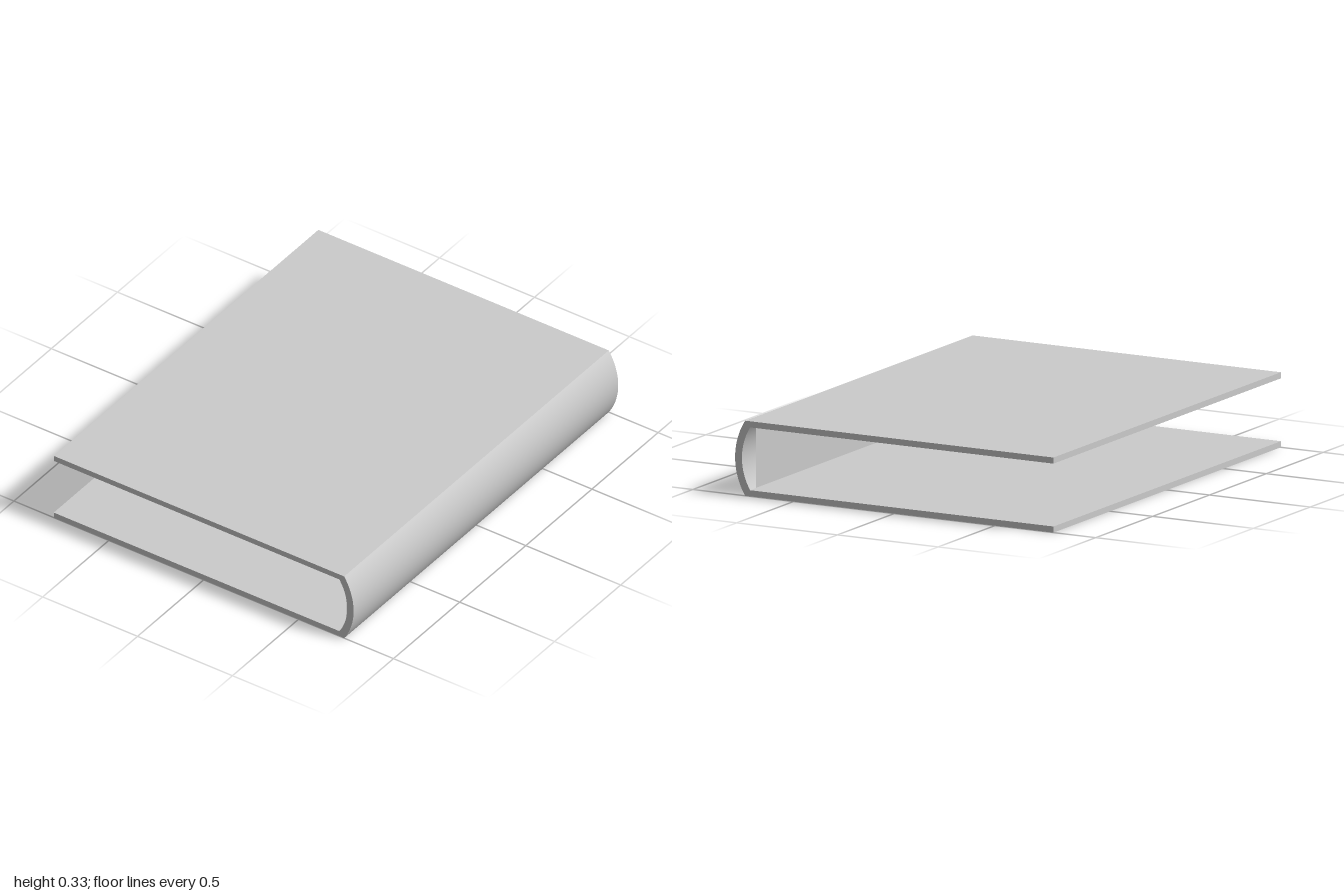
import * as THREE from 'three';
import { toCreasedNormals } from 'three/addons/utils/BufferGeometryUtils.js';

const HEIGHT = 0.332, MID = HEIGHT / 2, BOARD = 0.027;
const FORE = -0.79;                 // open edge of the covers
const HINGE = 0.74, HINGE_IN = 0.715; // outer and inner spine corners

// Points of an arc bulging towards +x, from (x, -half) up to (x, half)
function bulge(x, half, sag, steps = 28) {
  const r = (half * half + sag * sag) / (2 * sag);
  const a = Math.asin(half / r);
  return Array.from({ length: steps + 1 }, (_, i) => {
    const t = -a + (2 * a * i) / steps;
    return new THREE.Vector2(x + sag - r + r * Math.cos(t), MID + r * Math.sin(t));
  });
}

// Profile in the xy plane, run along the full length of the book
function run(points) {
  const g = new THREE.ExtrudeGeometry(new THREE.Shape(points), { depth: 2, bevelEnabled: false });
  g.translate(0, 0, -1);
  return toCreasedNormals(g, 0.4);
}

export function createModel() {
  const book = new THREE.Group();
  book.name = 'bookCover';
  const material = new THREE.MeshStandardMaterial({ color: 0xcccccc });
  const thin = new THREE.MeshStandardMaterial({ color: 0xcccccc, side: THREE.DoubleSide });

  const add = (name, geometry, mat = material) => {
    const mesh = new THREE.Mesh(geometry, mat);
    mesh.name = name;
    book.add(mesh);
    return mesh;
  };

  // Cover boards, mitred where they meet the spine
  for (const [name, outer, inner] of [
    ['bottomCover', 0, BOARD],
    ['topCover', HEIGHT, HEIGHT - BOARD],
  ]) {
    add(name, run([
      new THREE.Vector2(FORE, outer),
      new THREE.Vector2(HINGE, outer),
      new THREE.Vector2(HINGE_IN, inner),
      new THREE.Vector2(FORE, inner),
    ]));
  }

  // Rounded spine
  add('spine', run([
    ...bulge(HINGE, MID, 0.05),
    ...bulge(HINGE_IN, MID - BOARD, 0.041).reverse(),
  ]));

  // Thin lining sheets, inset from the cover edges
  const x0 = -0.75, width = HINGE_IN - x0, length = 1.9, gap = 0.001;
  for (const [name, y, turn] of [
    ['bottomLining', BOARD + gap, -1],
    ['topLining', HEIGHT - BOARD - gap, 1],
  ]) {
    const sheet = add(name, new THREE.PlaneGeometry(width, length), thin);
    sheet.rotation.x = (turn * Math.PI) / 2;
    sheet.position.set(x0 + width / 2, y, 0);
  }

  // Flat sheet closing off the hollow of the spine
  const back = add('spineLining', new THREE.PlaneGeometry(length, HEIGHT - 2 * BOARD), thin);
  back.rotation.y = -Math.PI / 2;
  back.position.set(HINGE_IN, MID, 0);

  return book;
}
